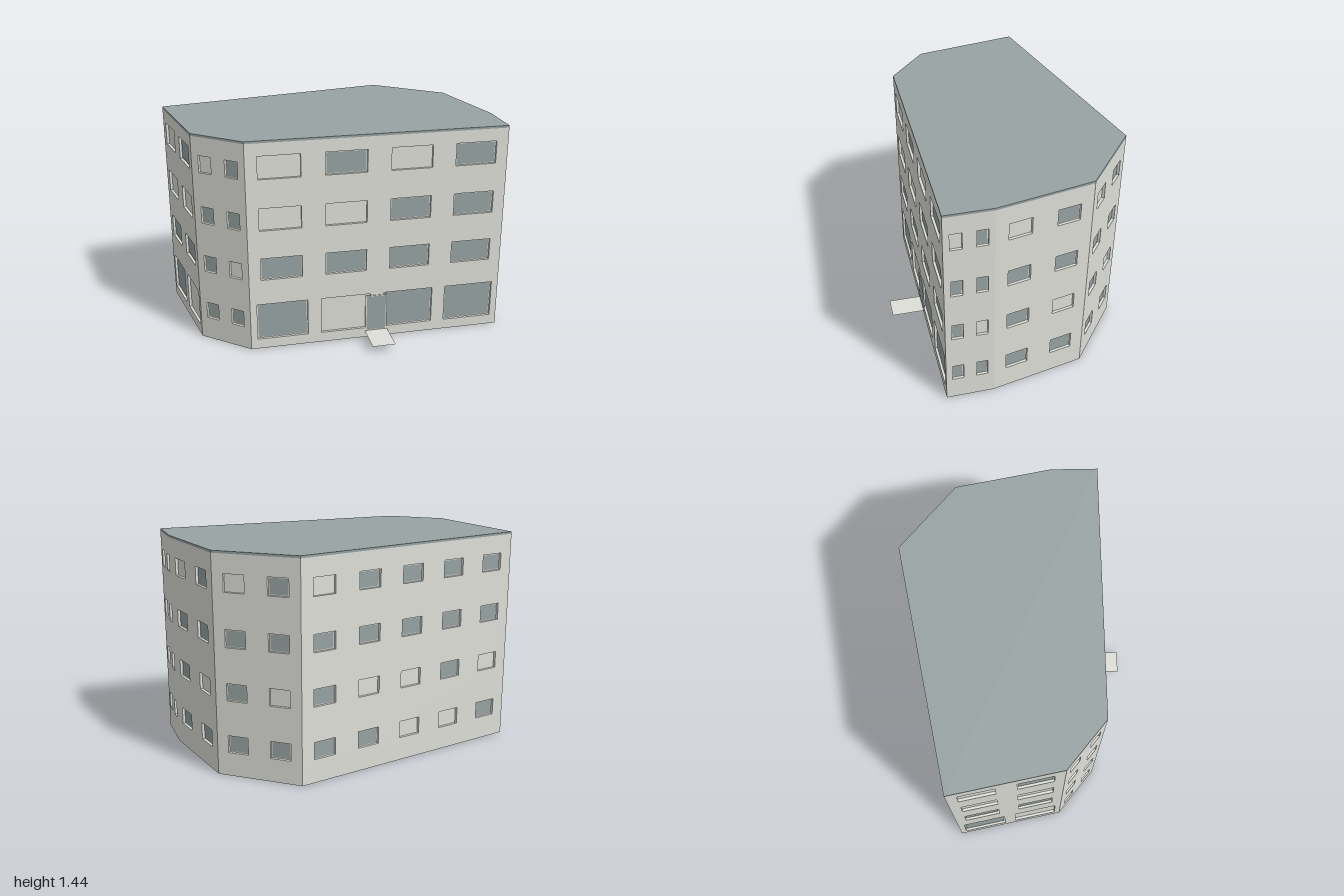
import * as THREE from 'three';
import { mergeGeometries } from 'three/addons/utils/BufferGeometryUtils.js';

const wallMat = new THREE.MeshStandardMaterial({ name: 'pale plaster', color: 0xdedfd8, side: THREE.DoubleSide });
const slateMat = new THREE.MeshStandardMaterial({ name: 'slate grey', color: 0x98a3a4 });

const STOREY = 0.345, WALL_TOP = 1.427, ROOF_TOP = 1.442, RECESS = 0.018, INSET = 0.007;

// Footprint corners [x, z], listed left to right as seen from outside
const corners = {
  E: [0.94, 0.655], D: [1, 0.35], C: [1, -0.29], B: [0.64, -0.73],
  A: [-1, -0.73], G: [-1, 0], F: [-0.75, 0.31],
};

// Per storey from the ground up: g = glazed bay, w = blank bay
const narrow = ['gg', 'gw', 'gg', 'wg'];
const facades = [
  { name: 'rightFrontWall', from: 'E', to: 'D', bays: narrow },
  { name: 'rightWall', from: 'D', to: 'C', bays: narrow },
  { name: 'rightBackWall', from: 'C', to: 'B', bays: narrow },
  { name: 'backWall', from: 'B', to: 'A', bays: ['ggwwg', 'gwwgw', 'ggggg', 'wgggg'] },
  { name: 'leftWall', from: 'A', to: 'G', bays: ['gw', 'gg', 'ww', 'wg'], wide: true },
  { name: 'leftFrontWall', from: 'G', to: 'F', bays: narrow },
  { name: 'frontWall', from: 'F', to: 'E', bays: ['gwgg', 'gggg', 'wwgg', 'wgwg'], wide: true },
];

function rectPath(path, x0, y0, x1, y1) {
  path.moveTo(x0, y0).lineTo(x1, y0).lineTo(x1, y1).lineTo(x0, y1).closePath();
  return path;
}

// Box without its front face, pushed in behind the wall
function recessGeometry(x0, y0, x1, y1) {
  const g = new THREE.BoxGeometry(x1 - x0, y1 - y0, RECESS);
  const index = Array.from(g.index.array);
  index.splice(24, 6);
  g.setIndex(index);
  g.clearGroups();
  return g.translate((x0 + x1) / 2, (y0 + y1) / 2, -RECESS / 2);
}

function paneGeometry(x0, y0, x1, y1) {
  return new THREE.PlaneGeometry(x1 - x0 - 2 * INSET, y1 - y0 - 2 * INSET)
    .translate((x0 + x1) / 2, (y0 + y1) / 2, 0.003 - RECESS);
}

// Window opening size and sill height for one storey
function opening(wide, floor, cell) {
  if (!wide) return { w: cell * 0.476, h: 0.114, sill: 0.156 };
  return floor === 0 ? { w: cell * 0.79, h: 0.255, sill: 0.07 } : { w: cell * 0.635, h: 0.152, sill: 0.156 };
}

function buildFacade({ name, from, to, bays, wide }) {
  const [ax, az] = corners[from], [bx, bz] = corners[to];
  const length = Math.hypot(bx - ax, bz - az);
  const shape = rectPath(new THREE.Shape(), 0, 0, length, WALL_TOP);
  const recesses = [], panes = [];

  bays.forEach((row, floor) => {
    const cell = length / row.length;
    const { w, h, sill } = opening(wide, floor, cell);
    [...row].forEach((kind, i) => {
      const cx = (i + 0.5) * cell, y0 = floor * STOREY + sill;
      const rect = [cx - w / 2, y0, cx + w / 2, y0 + h];
      shape.holes.push(rectPath(new THREE.Path(), ...rect));
      recesses.push(recessGeometry(...rect));
      if (kind === 'g') panes.push(paneGeometry(...rect));
    });
  });

  const group = new THREE.Group();
  group.name = name;
  const wall = new THREE.Mesh(mergeGeometries([new THREE.ShapeGeometry(shape), ...recesses]), wallMat);
  wall.name = 'wallWithRecesses';
  const glass = new THREE.Mesh(mergeGeometries(panes), slateMat);
  glass.name = 'windowPanes';
  group.add(wall, glass);
  group.position.set(ax, 0, az);
  group.rotation.y = Math.atan2(az - bz, bx - ax);
  return group;
}

// Entrance in the front wall's own frame: u along the wall, z outwards
function addEntrance(front) {
  const u = 0.855;
  const frame = new THREE.Mesh(new THREE.BoxGeometry(0.15, 0.262, 0.008), wallMat);
  frame.name = 'doorFrame';
  frame.position.set(u, 0.181, 0);
  const door = new THREE.Mesh(new THREE.PlaneGeometry(0.132, 0.25), slateMat);
  door.name = 'door';
  door.position.set(u, 0.182, 0.006);
  const step = new THREE.Mesh(new THREE.PlaneGeometry(0.157, 0.225).rotateX(-Math.PI / 2), wallMat);
  step.name = 'entranceStep';
  step.position.set(u, 0.05, 0.1125);
  front.add(frame, door, step);
}

export function createModel() {
  const model = new THREE.Group();
  model.name = 'apartmentBuilding';
  for (const facade of facades) {
    const group = buildFacade(facade);
    if (facade.name === 'frontWall') addEntrance(group);
    model.add(group);
  }

  // Flat roof slab following the footprint
  const outline = new THREE.Shape(Object.values(corners).map(([x, z]) => new THREE.Vector2(x, -z)));
  const slab = new THREE.ExtrudeGeometry(outline, { depth: ROOF_TOP - WALL_TOP, bevelEnabled: false });
  const roof = new THREE.Mesh(slab.rotateX(-Math.PI / 2).translate(0, WALL_TOP, 0), slateMat);
  roof.name = 'roof';
  model.add(roof);
  return model;
}
